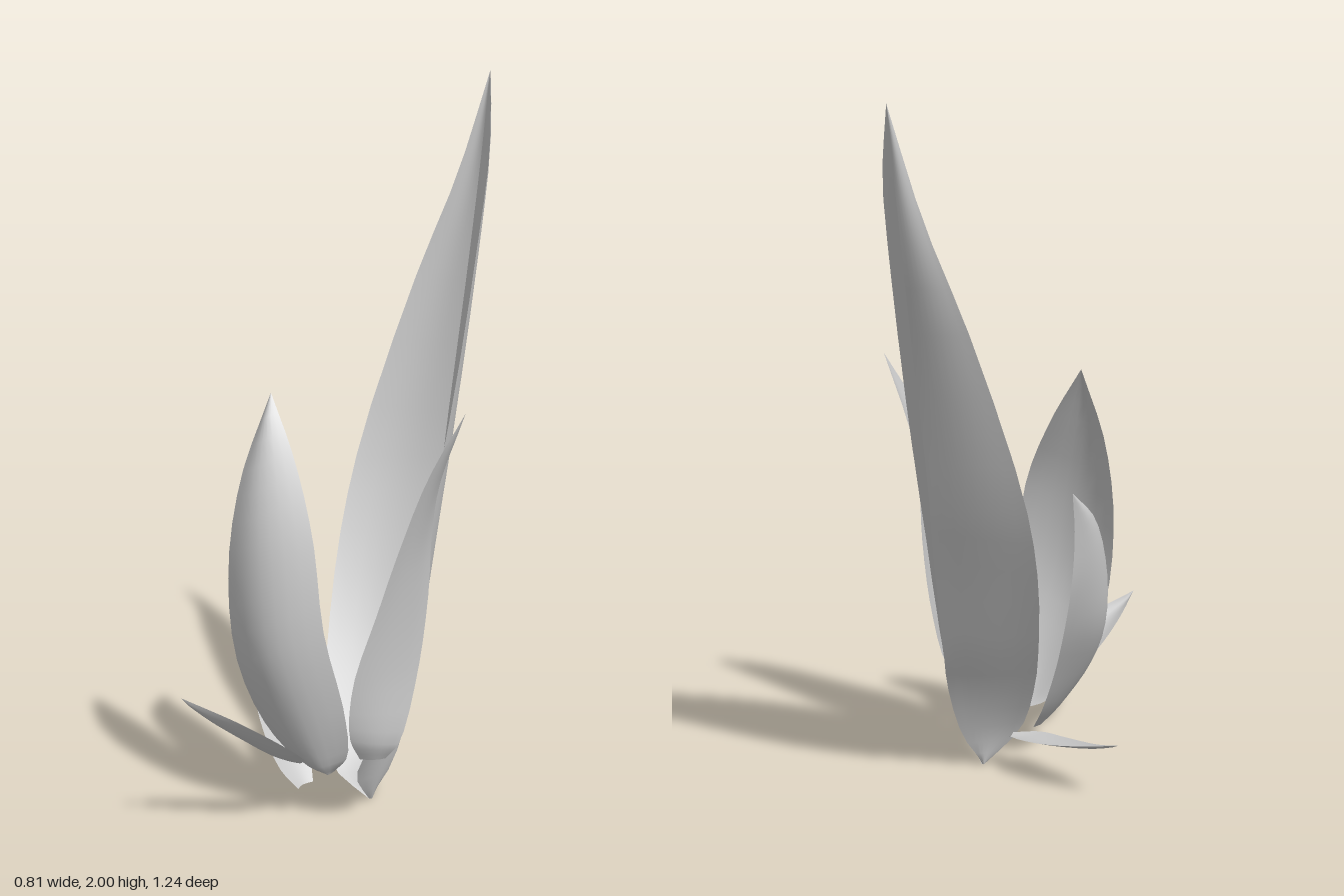
import * as THREE from 'three';

const material = new THREE.MeshStandardMaterial({ color: 0xcccccc, side: THREE.DoubleSide });

// Smooth curve through a few [x, y, z] points
const curve = (pts) => new THREE.CatmullRomCurve3(pts.map((p) => new THREE.Vector3(...p)));

// Leaf blade lofted between two edge curves (base to tip), cupped along a bulge vector
function blade(name, edgeA, edgeB, bulge, rows = 20, cols = 8) {
  const a = curve(edgeA), b = curve(edgeB), cup = new THREE.Vector3(...bulge);
  const geo = new THREE.PlaneGeometry(1, 1, cols, rows);
  const pos = geo.attributes.position, p = new THREE.Vector3();
  for (let j = 0, k = 0; j <= rows; j++) {
    const t = j / rows, pa = a.getPoint(t), pb = b.getPoint(t);
    const swell = Math.sqrt(Math.max(0, Math.sin(Math.PI * (0.08 + 0.92 * t))));
    for (let i = 0; i <= cols; i++, k++) {
      const s = i / cols;
      p.lerpVectors(pa, pb, s).addScaledVector(cup, swell * Math.sin(Math.PI * s));
      pos.setXYZ(k, p.x, p.y, p.z);
    }
  }
  geo.computeVertexNormals();
  const mesh = new THREE.Mesh(geo, material);
  mesh.name = name;
  return mesh;
}

export function createModel() {
  const plant = new THREE.Group();
  plant.name = 'leafCluster';

  // Tall leaf: two halves meeting in a sharp fold along the midrib
  const tall = new THREE.Group();
  tall.name = 'tallLeaf';
  const midrib = [[0.06, 0, 0.1], [0.1, 0.1, 0.035], [0.11, 0.27, -0.055], [0.09, 0.42, -0.14],
    [0.06, 0.73, -0.28], [0.04, 0.95, -0.365], [0.03, 1.39, -0.5], [0.025, 1.7, -0.585], [0.04, 2, -0.62]];
  tall.add(blade('tallLeafRightHalf',
    [[0.06, 0, 0.1], [-0.03, 0.1, 0.15], [-0.1, 0.25, 0.08], [-0.155, 0.42, -0.03],
      [-0.21, 0.68, -0.19], [-0.22, 0.94, -0.33], [-0.135, 1.4, -0.5], [-0.04, 1.7, -0.575], [0.04, 2, -0.62]],
    midrib, [0, 0, -0.015]));
  tall.add(blade('tallLeafLeftHalf', midrib,
    [[0.06, 0, 0.1], [0.085, 0.11, 0.21], [0.14, 0.21, 0.243], [0.19, 0.38, 0.19],
      [0.203, 0.76, 0.04], [0.19, 1.16, -0.15], [0.145, 1.545, -0.36], [0.105, 1.79, -0.5], [0.04, 2, -0.62]],
    [0.015, 0, -0.01]));
  plant.add(tall);

  // Broad cupped leaf at the front
  plant.add(blade('frontLeaf',
    [[0.02, 0.13, 0.24], [-0.06, 0.15, 0.27], [-0.15, 0.24, 0.3], [-0.222, 0.44, 0.345],
      [-0.25, 0.7, 0.34], [-0.238, 0.95, 0.29], [-0.195, 1.18, 0.2]],
    [[0.03, 0.125, 0.24], [0.078, 0.18, 0.25], [0.1, 0.33, 0.3], [0.062, 0.57, 0.345],
      [0.01, 0.82, 0.315], [-0.09, 1.02, 0.25], [-0.195, 1.18, 0.2]],
    [0, -0.01, 0.055]));

  // Upright twisted leaf on the left
  plant.add(blade('leftLeaf',
    [[0.15, 0.205, 0.3], [0.145, 0.28, 0.345], [0.165, 0.44, 0.36], [0.22, 0.64, 0.328],
      [0.272, 0.82, 0.3], [0.335, 1.02, 0.255], [0.4, 1.19, 0.17]],
    [[0.2, 0.2, 0.245], [0.235, 0.25, 0.23], [0.255, 0.44, 0.165], [0.264, 0.65, 0.125],
      [0.27, 0.82, 0.118], [0.295, 0.96, 0.125], [0.4, 1.19, 0.17]],
    [0.015, 0, 0.008]));

  // Upright curved leaf on the right
  plant.add(blade('rightLeaf',
    [[-0.045, 0.08, 0.31], [-0.1, 0.14, 0.325], [-0.2, 0.28, 0.28], [-0.275, 0.44, 0.2],
      [-0.298, 0.62, 0.14], [-0.288, 0.79, 0.06], [-0.25, 0.875, -0.02]],
    [[-0.04, 0.08, 0.24], [-0.09, 0.16, 0.18], [-0.15, 0.3, 0.12], [-0.2, 0.45, 0.06],
      [-0.235, 0.6, 0.02], [-0.25, 0.75, 0], [-0.25, 0.875, -0.02]],
    [-0.02, 0, 0]));

  // Short drooping leaf reaching forward
  plant.add(blade('shortFrontLeaf',
    [[-0.05, 0.18, 0.33], [-0.12, 0.22, 0.39], [-0.17, 0.28, 0.46], [-0.203, 0.35, 0.55], [-0.222, 0.415, 0.62]],
    [[-0.01, 0.18, 0.33], [-0.003, 0.225, 0.395], [-0.03, 0.28, 0.465], [-0.1, 0.345, 0.54], [-0.222, 0.415, 0.62]],
    [0, -0.025, 0]));

  // Short flat leaf reaching to the right
  plant.add(blade('shortSideLeaf',
    [[-0.02, 0.1, 0.125], [-0.1, 0.11, 0.133], [-0.2, 0.12, 0.085], [-0.32, 0.142, 0.005], [-0.405, 0.172, -0.062]],
    [[-0.02, 0.1, 0.09], [-0.08, 0.115, 0.03], [-0.18, 0.13, -0.018], [-0.3, 0.15, -0.045], [-0.405, 0.172, -0.062]],
    [0, -0.012, 0]));

  return plant;
}
